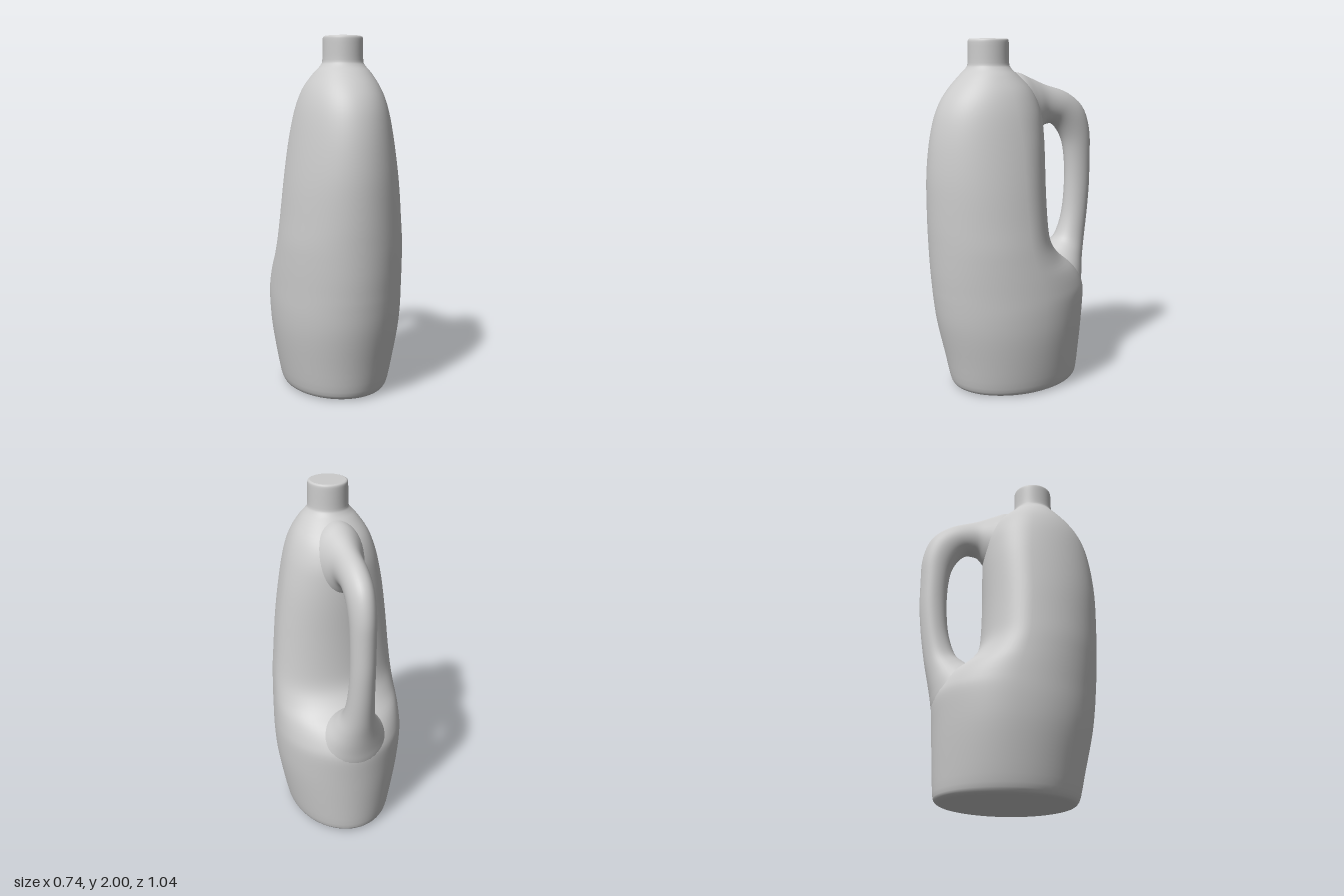
import * as THREE from 'three';

// Smooth interpolation through rows of numbers, without overshoot
function refine(rows, steps) {
  const slope = (i, k) => {
    if (i === 0 || i === rows.length - 1) {
      const j = i === 0 ? 0 : i - 1;
      return rows[j + 1][k] - rows[j][k];
    }
    const a = rows[i][k] - rows[i - 1][k];
    const b = rows[i + 1][k] - rows[i][k];
    if (a * b <= 0) return 0;
    return Math.sign(a) * Math.min(Math.abs(a + b) / 2, 2 * Math.abs(a), 2 * Math.abs(b));
  };
  const out = [];
  for (let i = 0; i < rows.length - 1; i++) {
    for (let s = 0; s < steps; s++) {
      const t = s / steps, t2 = t * t, t3 = t2 * t;
      out.push(rows[i].map((p, k) =>
        (2 * t3 - 3 * t2 + 1) * p + (t3 - 2 * t2 + t) * slope(i, k) +
        (3 * t2 - 2 * t3) * rows[i + 1][k] + (t3 - t2) * slope(i + 1, k)));
    }
  }
  out.push(rows[rows.length - 1]);
  return out;
}

// Skin over closed rings, with a flat cap at each end
function loft(rows, sides, point) {
  const pos = [], index = [];
  const ring = (row) => {
    for (let i = 0; i < sides; i++) pos.push(...point(row, (i / sides) * Math.PI * 2));
  };
  rows.forEach(ring);
  for (let r = 0; r < rows.length - 1; r++) {
    for (let i = 0; i < sides; i++) {
      const j = (i + 1) % sides;
      const a = r * sides + i, b = r * sides + j;
      index.push(a, a + sides, b, b, a + sides, b + sides);
    }
  }
  for (const [row, top] of [[rows[0], false], [rows[rows.length - 1], true]]) {
    const start = pos.length / 3;
    ring(row);
    const p = point(row, 0), q = point(row, Math.PI);
    pos.push(...p.map((v, k) => (v + q[k]) / 2));
    for (let i = 0; i < sides; i++) {
      const a = start + i, b = start + (i + 1) % sides;
      index.push(start + sides, top ? b : a, top ? a : b);
    }
  }
  const geo = new THREE.BufferGeometry();
  geo.setAttribute('position', new THREE.Float32BufferAttribute(pos, 3));
  geo.setIndex(index);
  geo.computeVertexNormals();
  return geo;
}

export function createModel() {
  const group = new THREE.Group();
  const material = new THREE.MeshStandardMaterial({ color: 0xcccccc });
  const add = (name, geometry) => {
    const mesh = new THREE.Mesh(geometry, material);
    mesh.name = name;
    group.add(mesh);
  };

  // Bottle body and neck: height, half width, front z, widest z, back z
  const body = [
    [0.0, 0.26, 0.33, 0.0, -0.345],
    [0.008, 0.283, 0.365, 0.0, -0.378],
    [0.03, 0.298, 0.385, 0.0, -0.398],
    [0.2, 0.335, 0.425, 0.0, -0.41],
    [0.4, 0.365, 0.47, 0.0, -0.42],
    [0.54, 0.372, 0.49, 0.0, -0.427],
    [0.62, 0.37, 0.498, 0.01, -0.405],
    [0.7, 0.366, 0.505, 0.03, -0.345],
    [0.78, 0.36, 0.51, 0.055, -0.24],
    [0.88, 0.352, 0.515, 0.08, -0.172],
    [1.0, 0.34, 0.52, 0.09, -0.155],
    [1.2, 0.32, 0.523, 0.1, -0.15],
    [1.4, 0.293, 0.51, 0.1, -0.152],
    [1.55, 0.266, 0.482, 0.11, -0.148],
    [1.65, 0.24, 0.444, 0.12, -0.125],
    [1.73, 0.207, 0.39, 0.13, -0.08],
    [1.8, 0.16, 0.325, 0.15, -0.01],
    [1.84, 0.125, 0.285, 0.158, 0.032],
    [1.87, 0.112, 0.274, 0.158, 0.043],
    [1.98, 0.11, 0.272, 0.158, 0.045],
    [1.995, 0.107, 0.267, 0.158, 0.049],
    [2.0, 0.098, 0.257, 0.158, 0.058],
  ];
  add('bottleBody', loft(refine(body, 4), 64, ([y, w, front, mid, back], a) => {
    const s = Math.sin(a);
    return [w * Math.cos(a), y, mid + s * (s > 0 ? front - mid : mid - back)];
  }));

  // Handle, flared into the body: outer z, outer y, inner z, inner y, half width
  const handle = [
    [-0.395, 0.42, -0.05, 0.66, 0.24],
    [-0.425, 0.52, -0.13, 0.725, 0.21],
    [-0.438, 0.6, -0.195, 0.765, 0.172],
    [-0.457, 0.7, -0.25, 0.8, 0.125],
    [-0.48, 0.82, -0.305, 0.855, 0.088],
    [-0.505, 1.0, -0.348, 1.0, 0.072],
    [-0.519, 1.2, -0.361, 1.2, 0.068],
    [-0.519, 1.4, -0.345, 1.375, 0.07],
    [-0.475, 1.59, -0.3, 1.475, 0.075],
    [-0.36, 1.692, -0.24, 1.52, 0.078],
    [-0.2, 1.745, -0.19, 1.51, 0.086],
    [-0.1, 1.785, -0.14, 1.45, 0.115],
    [-0.02, 1.815, -0.06, 1.36, 0.15],
    [0.06, 1.82, 0.04, 1.3, 0.16],
  ];
  add('handle', loft(refine(handle, 5), 40, ([oz, oy, iz, iy, w], a) => {
    const c = Math.cos(a);
    return [w * Math.sin(a), (oy + iy) / 2 + c * (oy - iy) / 2, (oz + iz) / 2 + c * (oz - iz) / 2];
  }));

  return group;
}
